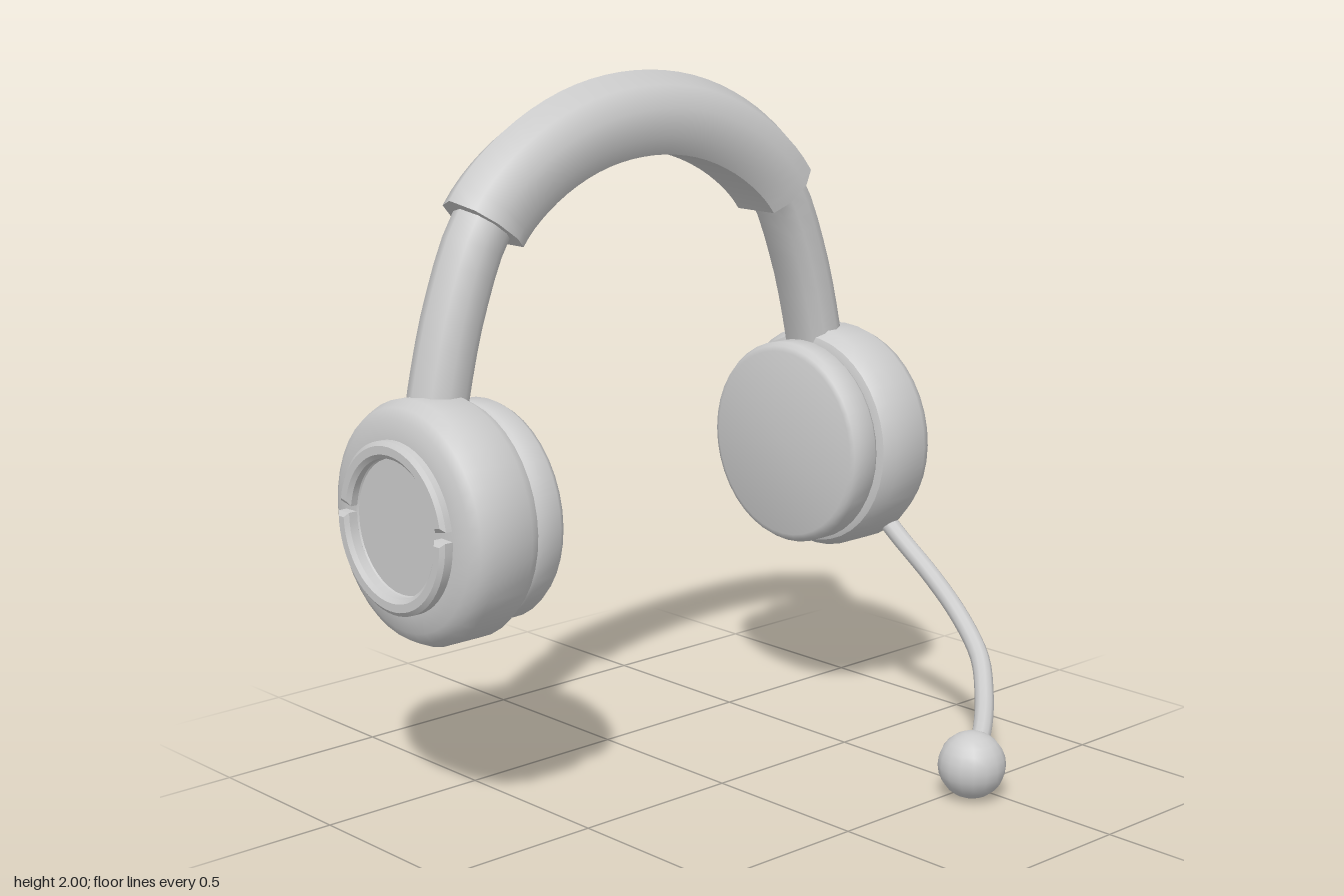
import * as THREE from 'three';
import { toCreasedNormals } from 'three/addons/utils/BufferGeometryUtils.js';

const CUP_Y = 0.855, CUP_Z = -0.317, BAND_Z = -0.352;

export function createModel() {
  const model = new THREE.Group();
  model.name = 'headset';
  const grey = new THREE.MeshStandardMaterial({ color: 0xcccccc });
  grey.name = 'light grey';

  const add = (parent, name, geometry, crease) => {
    const mesh = new THREE.Mesh(crease ? toCreasedNormals(geometry, crease) : geometry, grey);
    mesh.name = name;
    parent.add(mesh);
    return mesh;
  };

  // Headband centreline, from the left cup over the top to the right cup
  const half = [[0.74, 1.06], [0.715, 1.2], [0.655, 1.42], [0.56, 1.63], [0.42, 1.76], [0.22, 1.854]];
  const line = [...half, [0, 1.885], ...half.slice().reverse().map(([x, y]) => [-x, y])];
  const arch = new THREE.CatmullRomCurve3(line.map(([x, y]) => new THREE.Vector3(x, y, BAND_Z)));

  // Cross-section of band and padding: [across, outward]
  const section = [[0.103, -0.065], [0.103, 0.015], [0.07, 0.078], [0, 0.115], [-0.07, 0.078],
    [-0.103, 0.015], [-0.103, -0.065], [-0.075, -0.115], [0.075, -0.115]];

  // Sweep the section along part of the arch and close both ends
  function sweep(t0, t1, steps, sw, sn) {
    const pos = [], idx = [], n = section.length;
    for (let i = 0; i <= steps; i++) {
      const t = t0 + (t1 - t0) * i / steps;
      const p = arch.getPoint(t), d = arch.getTangent(t);
      for (const [w, o] of section) {
        pos.push(p.x + d.y * o * sn, p.y - d.x * o * sn, p.z + w * sw);
      }
    }
    for (let i = 0; i < steps; i++) {
      for (let j = 0; j < n; j++) {
        const a = i * n + j, b = i * n + (j + 1) % n;
        idx.push(a, b, a + n, b, b + n, a + n);
      }
    }
    const e = steps * n;
    for (let j = 1; j < n - 1; j++) idx.push(0, j + 1, j, e, e + j, e + j + 1);
    const g = new THREE.BufferGeometry();
    g.setAttribute('position', new THREE.Float32BufferAttribute(pos, 3));
    g.setIndex(idx);
    return g;
  }
  add(model, 'headband', sweep(0, 1, 40, 0.78, 0.64), 1.0);
  add(model, 'headbandPadding', sweep(0.25, 0.75, 28, 1, 1), 1.0);

  // Solid of revolution about the x axis; profile points are [x, radius]
  const turned = (profile) => new THREE.LatheGeometry(
    profile.map(([x, r]) => new THREE.Vector2(r, x)), 40).rotateZ(-Math.PI / 2);

  // Bevelled arc of the outer trim, facing +x
  function trimArc(from, to, depth) {
    const s = new THREE.Shape();
    s.absarc(0, 0, 0.223, from, to, false);
    s.absarc(0, 0, 0.2, to, from, true);
    const g = new THREE.ExtrudeGeometry(s, {
      depth, curveSegments: 16, bevelEnabled: true, bevelSize: 0.012, bevelThickness: 0.01, bevelSegments: 1,
    });
    return g.rotateY(Math.PI / 2).translate(0.872, 0, 0);
  }

  // Ear cups: the right one is the left one turned half round
  for (const side of ['left', 'right']) {
    const cup = new THREE.Group();
    cup.name = side + 'EarCup';
    cup.position.set(0, CUP_Y, CUP_Z);
    if (side === 'right') cup.rotation.y = Math.PI;
    add(cup, 'earCushion', turned([[0.547, 0], [0.547, 0.28], [0.553, 0.295], [0.57, 0.305],
      [0.63, 0.305], [0.645, 0.295], [0.66, 0.27]]), 0.7);
    add(cup, 'cupShell', turned([[0.648, 0], [0.648, 0.295], [0.655, 0.315], [0.69, 0.335],
      [0.81, 0.335], [0.845, 0.317], [0.862, 0.29], [0.873, 0.235], [0.873, 0.19], [0.868, 0.185], [0.868, 0]]), 0.7);
    add(cup, 'upperTrim', trimArc(0.2, Math.PI - 0.2, 0.02), 0.5);
    add(cup, 'lowerTrim', trimArc(Math.PI + 0.02, 2 * Math.PI - 0.02, 0.026), 0.5);
    model.add(cup);
  }

  // Microphone boom and its round tip
  const boom = new THREE.CatmullRomCurve3([[0.795, 0.65, -0.17], [0.808, 0.56, -0.07], [0.822, 0.46, 0.05],
    [0.825, 0.36, 0.16], [0.79, 0.27, 0.27], [0.7, 0.2, 0.37], [0.58, 0.145, 0.47], [0.47, 0.11, 0.54],
  ].map((p) => new THREE.Vector3(...p)));
  add(model, 'microphoneBoom', new THREE.TubeGeometry(boom, 28, 0.028, 10));
  const tip = add(model, 'microphoneTip', new THREE.SphereGeometry(0.096, 16, 12));
  tip.position.set(0.44, 0.097, 0.555);

  return model;
}
